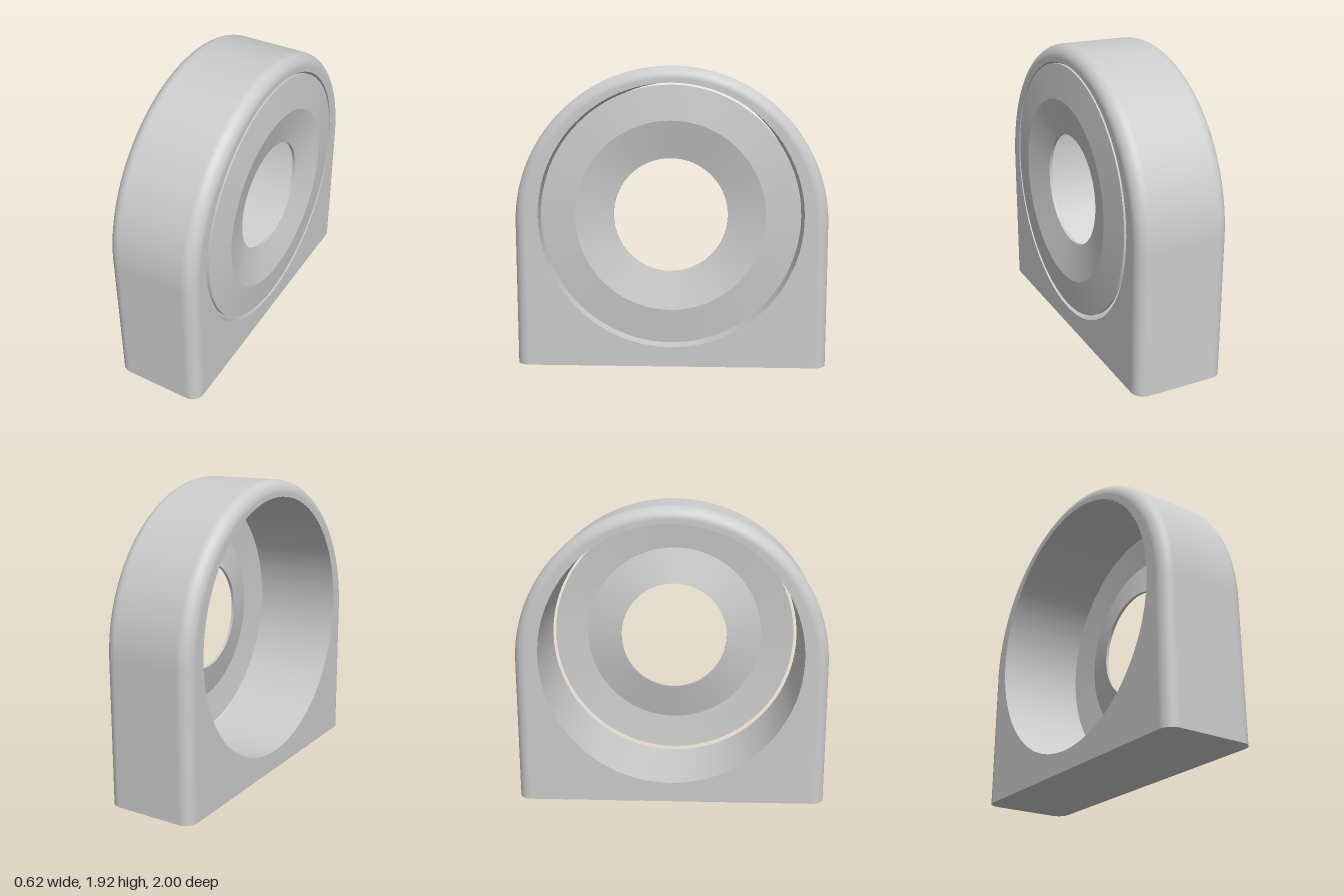
import * as THREE from 'three';
import { toCreasedNormals } from 'three/addons/utils/BufferGeometryUtils.js';

const X0 = -0.315, X1 = 0.285;      // back and front planes of the housing
const ARCH_Y = 0.92, ARCH_R = 1;    // rounded top of the housing
const BORE_Y = 0.9725, BORE_R = 0.8425;
const FILLET = 0.08;
const SEG = 96;

const material = new THREE.MeshStandardMaterial({ color: 0xcccccc });

// Cross-section of the outer wall: x, inset from the outline, normal angle
function wallProfile() {
  const out = [], steps = 10;
  for (const side of [-1, 1]) {
    const cx = side < 0 ? X0 + FILLET : X1 - FILLET;
    for (let i = 0; i <= steps; i++) {
      const t = (i / steps) * Math.PI / 2;
      const a = side < 0 ? t - Math.PI / 2 : t;
      out.push({ x: cx + FILLET * Math.sin(a), inset: FILLET * (1 - Math.cos(a)), a });
    }
  }
  return out;
}

// Sweep the cross-section up one side, over the arch and down the other
function wallGeometry(profile) {
  const path = [{ t: 0, foot: true }];
  for (let i = 0; i <= SEG; i++) path.push({ t: (i / SEG) * Math.PI });
  path.push({ t: Math.PI, foot: true });
  const pos = [], nor = [], idx = [], n = profile.length;
  path.forEach(({ t, foot }, j) => {
    const ny = Math.sin(t), nz = Math.cos(t);
    profile.forEach(({ x, inset, a }, i) => {
      const r = ARCH_R - inset;
      pos.push(x, foot ? 0 : ARCH_Y + r * ny, r * nz);
      nor.push(Math.sin(a), Math.cos(a) * ny, Math.cos(a) * nz);
      if (j && i) {
        const d = j * n + i, c = d - 1, b = d - n, e = b - 1;
        idx.push(e, b, d, e, d, c);
      }
    });
  });
  const g = new THREE.BufferGeometry();
  g.setAttribute('position', new THREE.Float32BufferAttribute(pos, 3));
  g.setAttribute('normal', new THREE.Float32BufferAttribute(nor, 3));
  g.setIndex(idx);
  return g;
}

// Flat arched face with the bore cut out
function faceGeometry() {
  const r = ARCH_R - FILLET;
  const s = new THREE.Shape();
  s.moveTo(-r, 0);
  s.lineTo(r, 0);
  s.lineTo(r, ARCH_Y);
  s.absarc(0, ARCH_Y, r, 0, Math.PI, false);
  s.closePath();
  const hole = new THREE.Path();
  hole.absarc(0, BORE_Y, BORE_R, 0, Math.PI * 2, true);
  s.holes.push(hole);
  return new THREE.ShapeGeometry(s, SEG);
}

export function createModel() {
  const model = new THREE.Group();
  const housing = new THREE.Group();
  housing.name = 'housing';
  model.add(housing);

  const add = (parent, geometry, name, mat = material) => {
    const mesh = new THREE.Mesh(geometry, mat);
    mesh.name = name;
    parent.add(mesh);
    return mesh;
  };

  // Outer wall with rounded edges
  const profile = wallProfile();
  add(housing, wallGeometry(profile), 'outerWall');

  // Front and back faces
  add(housing, faceGeometry().rotateY(Math.PI / 2).translate(X1, 0, 0), 'boreFaceLeft');
  add(housing, faceGeometry().rotateY(-Math.PI / 2).translate(X0, 0, 0), 'boreFaceRight');

  // Flat underside with rounded corners
  const outline = [
    ...profile.map(p => new THREE.Vector2(p.x, -(ARCH_R - p.inset))),
    ...profile.map(p => new THREE.Vector2(p.x, ARCH_R - p.inset)).reverse(),
  ];
  add(housing, new THREE.ShapeGeometry(new THREE.Shape(outline)).rotateX(Math.PI / 2), 'underside');

  // Bore wall, seen from inside
  const bore = new THREE.CylinderGeometry(BORE_R, BORE_R, X1 - X0, SEG, 1, true);
  bore.rotateZ(-Math.PI / 2).translate((X0 + X1) / 2, BORE_Y, 0);
  const inside = material.clone();
  inside.side = THREE.DoubleSide;
  add(housing, bore, 'bore', inside);

  // Thin dished cover ring: sloped rim, then a cone sinking towards the hole
  const T = 0.02;
  const front = [[0.82, 0.287], [0.6, 0.31], [0.3625, 0.25]];
  const back = front.map(([r, x]) => [r, x - T]).reverse();
  const loop = [back[2], ...front, ...back].map(([r, x]) => new THREE.Vector2(r, x));
  const cover = toCreasedNormals(new THREE.LatheGeometry(loop, SEG), 0.2);
  cover.rotateZ(-Math.PI / 2).translate(0, 0.983, 0);
  add(model, cover, 'coverRing');

  return model;
}
